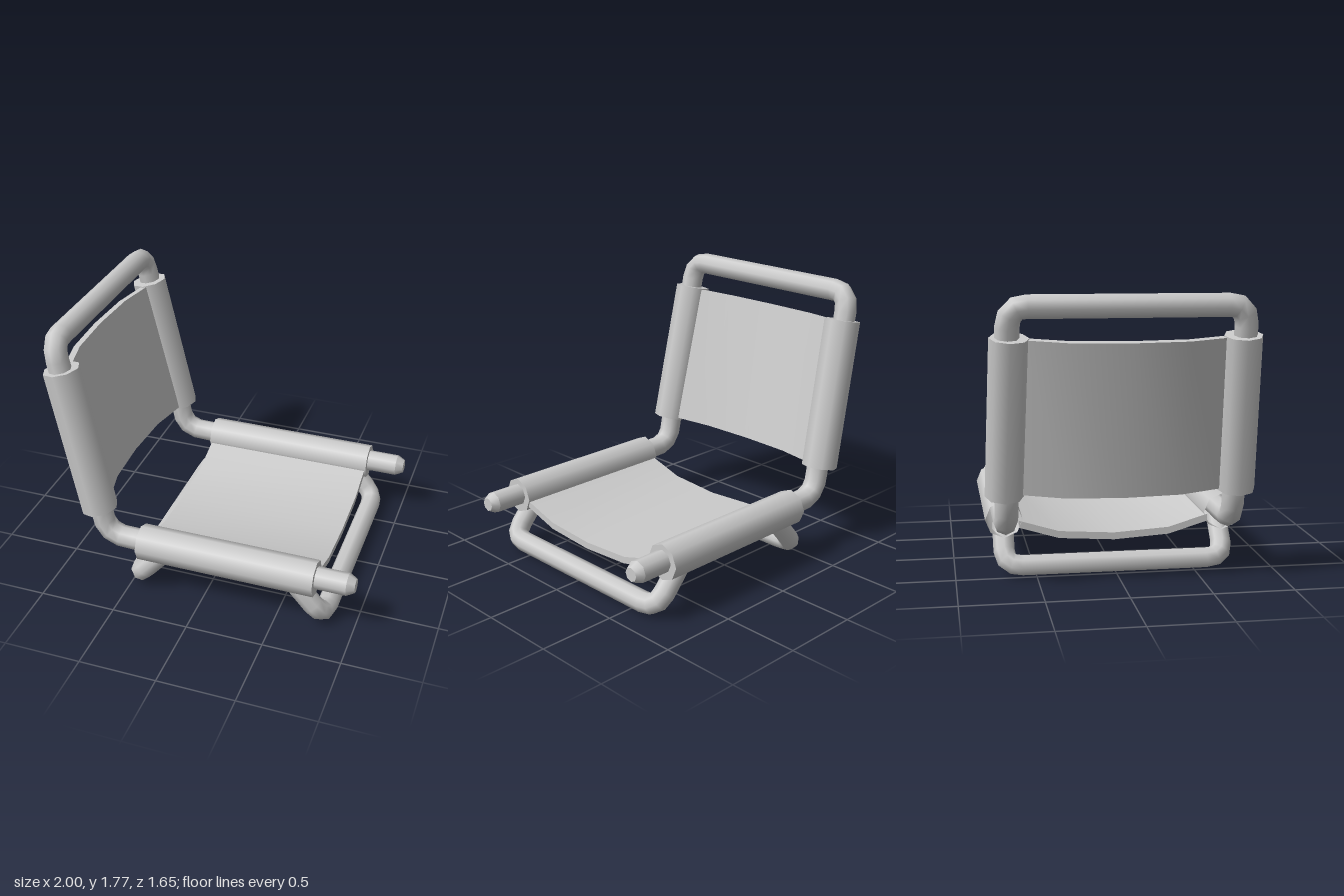
import * as THREE from 'three';
import { toCreasedNormals } from 'three/addons/utils/BufferGeometryUtils.js';

const grey = new THREE.MeshStandardMaterial({ color: 0xcccccc });
const greyDouble = new THREE.MeshStandardMaterial({ color: 0xcccccc, side: THREE.DoubleSide });

// Path with one tube ring at each listed point, mitred at the bends
class BentPath extends THREE.Curve {
  constructor(points) {
    super();
    this.points = points;
  }
  index(u) {
    return Math.round(u * (this.points.length - 1));
  }
  getPointAt(u) {
    return this.points[this.index(u)].clone();
  }
  getTangentAt(u) {
    const p = this.points, i = this.index(u), t = new THREE.Vector3();
    if (i > 0) t.add(p[i].clone().sub(p[i - 1]).normalize());
    if (i < p.length - 1) t.add(p[i + 1].clone().sub(p[i]).normalize());
    return t.normalize();
  }
}

function add(parent, name, geometry, material = grey) {
  const mesh = new THREE.Mesh(geometry, material);
  mesh.name = name;
  parent.add(mesh);
  return mesh;
}

// Bent tube: one half given for +z, the other half mirrored
function mirroredTube(parent, name, half, radius) {
  const left = half.map(p => new THREE.Vector3(...p));
  const right = half.map(([x, y, z]) => new THREE.Vector3(x, y, -z)).reverse();
  const points = [...left, ...right];
  return add(parent, name, new THREE.TubeGeometry(new BentPath(points), points.length - 1, radius, 8));
}

// Fabric panel along local x: sagging sling between two sleeves, each open at one end
function fabricPanel(name, length, lift, sag, openEnd, splay) {
  const panel = new THREE.Group();
  panel.name = name;

  const upper = [[-0.6, 0.13], [-0.35, 0.8], [0, 1], [0.35, 0.8], [0.6, 0.13]]
    .map(([z, f]) => new THREE.Vector2(z, lift - sag * f));
  const lower = upper.map(p => new THREE.Vector2(p.x, p.y - 0.045)).reverse();
  const sling = new THREE.ExtrudeGeometry(new THREE.Shape([...upper, ...lower]), {
    depth: length - 0.02, bevelEnabled: false
  });
  sling.translate(0, 0, -(length - 0.02) / 2).rotateY(Math.PI / 2);
  add(panel, name + 'Sling', toCreasedNormals(sling, 0.5));

  for (const side of [1, -1]) {
    const sleeve = new THREE.Group();
    sleeve.name = name + 'Sleeve';
    sleeve.position.z = side * 0.695;
    sleeve.rotation.y = -side * splay;
    panel.add(sleeve);
    const wall = new THREE.CylinderGeometry(0.117, 0.117, length, 8, 1, true).rotateZ(-Math.PI / 2);
    add(sleeve, 'sleeveWall', wall, greyDouble);
    const cap = new THREE.CircleGeometry(0.117, 8).rotateY(-openEnd * Math.PI / 2);
    cap.translate(-openEnd * length / 2, 0, 0);
    add(sleeve, 'sleeveCap', cap);
  }
  return panel;
}

export function createModel() {
  const model = new THREE.Group();
  model.name = 'slingChair';

  // Main frame: seat rails, bend, back posts and top bar
  const backX = y => -0.89 - (y - 1.528) * 0.2135;
  mirroredTube(model, 'mainFrame', [
    [0.95, 0.367, 0.695], [-0.45, 0.367, 0.695], [-0.555, 0.37, 0.695],
    [-0.625, 0.4, 0.695], [-0.665, 0.46, 0.695], [-0.685, 0.56, 0.695],
    [backX(1.585), 1.585, 0.695], [backX(1.65), 1.65, 0.682],
    [backX(1.695), 1.695, 0.64], [backX(1.704), 1.704, 0.58]
  ], 0.072);

  // Tapered tips at the front of the rails
  for (const side of [1, -1]) {
    const tip = new THREE.CylinderGeometry(0.045, 0.072, 0.05, 8).rotateZ(-Math.PI / 2);
    add(model, 'railTip', tip).position.set(0.975, 0.367, side * 0.695);
  }

  // Two splayed base loops, front and rear
  const middle = 0.17;
  for (const dir of [1, -1]) {
    const legPoint = (y, z) => [middle + dir * (0.63 - (y - 0.073) * 0.86), y, z];
    mirroredTube(model, dir > 0 ? 'frontBaseLoop' : 'rearBaseLoop', [
      legPoint(0.3, 0.695), legPoint(0.15, 0.695), legPoint(0.105, 0.68),
      legPoint(0.08, 0.64), legPoint(0.073, 0.58)
    ], 0.067);
  }

  // Seat panel
  const seat = fabricPanel('seat', 1.165, 0, 0.113, -1, 0);
  seat.position.set(0.1675, 0.358, 0);
  model.add(seat);

  // Backrest panel, leaning back with its local x pointing down
  const back = fabricPanel('backrest', 0.98, 0.04, 0.1, 1, 0.026);
  back.position.set(-0.788, 1.048, 0);
  back.rotation.z = -Math.PI / 2 + 0.21;
  model.add(back);

  return model;
}
